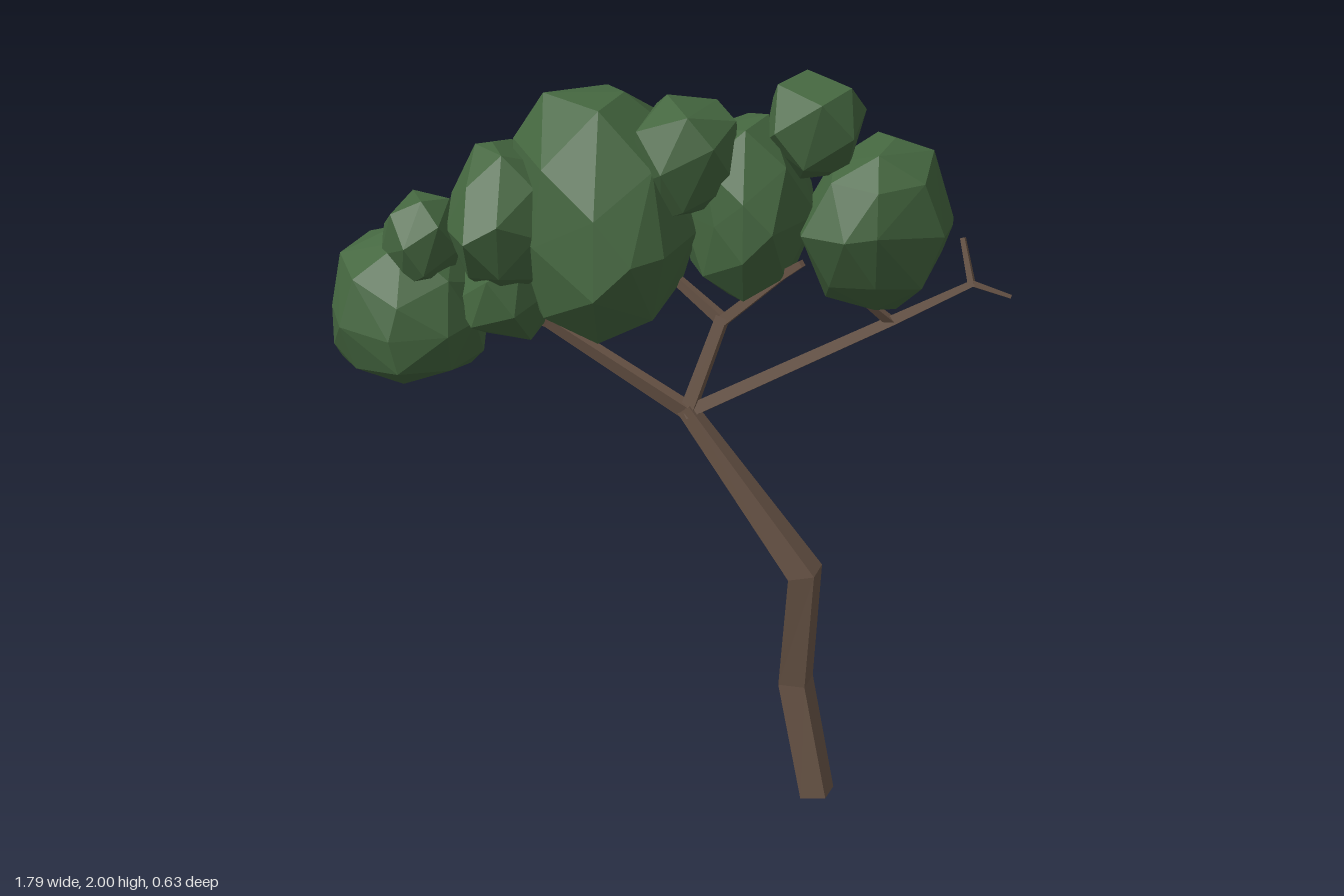
import * as THREE from 'three';
import { ConvexGeometry } from 'three/addons/geometries/ConvexGeometry.js';

const bark = new THREE.MeshStandardMaterial({ color: 0x6b5648, flatShading: true });
const leaf = new THREE.MeshStandardMaterial({ color: 0x44663f, flatShading: true });

function seeded(seed) {
  let s = seed * 7919 + 17;
  return () => (s = (s * 16807) % 2147483647) / 2147483647;
}

// Four-sided tapered limb; each node is [x, y, z, radius]
function limb(name, nodes) {
  const pts = nodes.map(n => new THREE.Vector3(n[0], n[1], n[2]));
  const last = pts.length - 1;
  const rings = pts.map((p, i) => {
    const t = new THREE.Vector3();
    if (i > 0) t.add(p.clone().sub(pts[i - 1]).normalize());
    if (i < last) t.add(pts[i + 1].clone().sub(p).normalize());
    t.normalize();
    const w = new THREE.Vector3(0, 0, 1).addScaledVector(t, -t.z).normalize();
    const u = t.clone().cross(w);
    return [0, 1, 2, 3].map(k => {
      const a = 1.08 + k * Math.PI / 2;
      return p.clone().addScaledVector(u, Math.cos(a) * nodes[i][3]).addScaledVector(w, Math.sin(a) * nodes[i][3]);
    });
  });
  const tris = [];
  for (let k = 0; k < 4; k++) {
    const n = (k + 1) % 4;
    for (let i = 0; i < last; i++) {
      const a = rings[i], b = rings[i + 1];
      tris.push(a[k], b[k], a[n], a[n], b[k], b[n]);
    }
    tris.push(pts[0], rings[0][k], rings[0][n], pts[last], rings[last][n], rings[last][k]);
  }
  const geo = new THREE.BufferGeometry().setFromPoints(tris);
  geo.computeVertexNormals();
  const mesh = new THREE.Mesh(geo, bark);
  mesh.name = name;
  return mesh;
}

function hull(name, pts) {
  const mesh = new THREE.Mesh(new ConvexGeometry(pts), leaf);
  mesh.name = name;
  return mesh;
}

// Small clump: irregular faceted ball fitted to a centre and half-sizes
function ballClump(name, seed, center, half, count) {
  const rnd = seeded(seed), pts = [];
  const spin = rnd() * 6.28;
  for (let i = 0; i < count; i++) {
    const y = 1 - (2 * i + 1) / count, r = Math.sqrt(1 - y * y), a = i * 2.39996 + spin;
    const p = new THREE.Vector3(Math.cos(a) * r, y, Math.sin(a) * r);
    p.x += (rnd() - 0.5) * 0.25;
    p.y += (rnd() - 0.5) * 0.25;
    p.z += (rnd() - 0.5) * 0.25;
    pts.push(p.normalize());
  }
  const box = new THREE.Box3().setFromPoints(pts);
  const mid = box.getCenter(new THREE.Vector3()), size = box.getSize(new THREE.Vector3());
  const limit = new THREE.Vector3(...half), low = limit.clone().negate(), c = new THREE.Vector3(...center);
  const scale = limit.clone().multiplyScalar(2.1).divide(size);
  pts.forEach(p => p.sub(mid).multiply(scale).clamp(low, limit).add(c));
  return hull(name, pts);
}

// Big clump: hull around three crossing outlines, front [x, y], side [z, y]
// and plan [x, z]; tilt lowers the front of the plan outline
function shapedClump(name, tilt, front, side, plan) {
  const box = new THREE.Box3().setFromPoints([
    ...front.map(([x, y]) => new THREE.Vector3(x, y, side[0][0])),
    ...side.map(([z, y]) => new THREE.Vector3(front[0][0], y, z)),
  ]);
  const c = box.getCenter(new THREE.Vector3()), h = box.getSize(new THREE.Vector3()).multiplyScalar(0.3);
  const drop = z => tilt * (z - c.z);
  const pts = [
    ...front.map(([x, y]) => new THREE.Vector3(x, y, c.z)),
    ...side.map(([z, y]) => new THREE.Vector3(c.x, y, z)),
    ...plan.map(([x, z]) => new THREE.Vector3(x, c.y - drop(z), z)),
  ];
  // Fill out the eight corners between the outlines
  for (const i of [-1, 1]) for (const j of [-1, 1]) for (const k of [-1, 1]) {
    const z = c.z + k * h.z;
    pts.push(new THREE.Vector3(c.x + i * h.x, c.y + j * h.y - drop(z), z));
  }
  return hull(name, pts);
}

export function createModel() {
  const tree = new THREE.Group();
  tree.name = 'tree';

  // Crooked trunk
  tree.add(limb('trunk', [
    [0.412, 0.01, 0.097, 0.052], [0.347, 0.345, 0.083, 0.053],
    [0.368, 0.692, 0.155, 0.053], [0.045, 1.12, 0.075, 0.028],
  ]));

  // Main branches and their forks
  const branches = new THREE.Group();
  branches.name = 'branches';
  branches.add(
    limb('rightBranch', [[0.04, 1.105, 0.078, 0.024], [0.58, 1.35, 0.005, 0.019], [0.79, 1.445, -0.035, 0.012]]),
    limb('rightUpperTwig', [[0.788, 1.435, -0.035, 0.012], [0.76, 1.56, -0.06, 0.009]]),
    limb('rightOuterTwig', [[0.785, 1.445, -0.035, 0.011], [0.89, 1.41, -0.035, 0.007]]),
    limb('rightInnerTwig', [[0.58, 1.345, 0.005, 0.016], [0.5, 1.42, 0.04, 0.012]]),
    limb('middleBranch', [[0.045, 1.1, 0.075, 0.026], [0.14, 1.37, 0.065, 0.022]]),
    limb('middleLeftTwig', [[0.145, 1.355, 0.065, 0.02], [0, 1.47, 0.02, 0.016], [-0.06, 1.56, 0, 0.01]]),
    limb('middleRightTwig', [[0.135, 1.355, 0.065, 0.02], [0.29, 1.495, 0.11, 0.017], [0.345, 1.54, 0.15, 0.012]]),
    limb('leftBranch', [[0.06, 1.105, 0.075, 0.026], [-0.32, 1.345, 0.05, 0.02], [-0.55, 1.43, 0.03, 0.01]]),
    limb('leftTwig', [[-0.31, 1.34, 0.05, 0.018], [-0.36, 1.5, 0.02, 0.01]]),
  );
  tree.add(branches);

  // Leaf clumps of the crown
  const crown = new THREE.Group();
  crown.name = 'crown';
  crown.add(
    shapedClump('outerClump', 0.25,
      [[-0.87, 1.515], [-0.72, 1.59], [-0.57, 1.55], [-0.48, 1.44], [-0.495, 1.255], [-0.53, 1.22], [-0.7, 1.19], [-0.875, 1.23], [-0.897, 1.265]],
      [[0.12, 1.57], [-0.07, 1.57], [-0.18, 1.46], [-0.18, 1.33], [-0.16, 1.245], [-0.07, 1.2], [0.17, 1.2], [0.25, 1.25], [0.23, 1.42]],
      [[-0.89, -0.06], [-0.7, -0.19], [-0.54, -0.16], [-0.48, 0], [-0.5, 0.14], [-0.56, 0.22], [-0.71, 0.25], [-0.85, 0.18], [-0.89, 0.07]]),
    shapedClump('leftClump', 0.1,
      [[-0.505, 1.81], [-0.46, 1.815], [-0.32, 1.76], [-0.28, 1.6], [-0.33, 1.46], [-0.45, 1.42], [-0.55, 1.49], [-0.57, 1.68]],
      [[0.12, 1.8], [-0.08, 1.8], [-0.18, 1.65], [-0.1, 1.44], [0.12, 1.42], [0.22, 1.5], [0.24, 1.64]],
      [[-0.54, -0.16], [-0.43, -0.18], [-0.3, -0.1], [-0.28, 0.08], [-0.33, 0.19], [-0.51, 0.25], [-0.575, 0.12], [-0.57, 0]]),
    shapedClump('largeClump', 0.2,
      [[-0.33, 1.94], [-0.12, 1.945], [0, 1.85], [0.06, 1.68], [0.03, 1.45], [-0.05, 1.37], [-0.15, 1.31], [-0.26, 1.3], [-0.37, 1.4], [-0.41, 1.6], [-0.41, 1.82]],
      [[0.13, 1.92], [-0.12, 1.94], [-0.275, 1.815], [-0.31, 1.61], [-0.25, 1.4], [-0.18, 1.35], [0.2, 1.33], [0.31, 1.47], [0.28, 1.67]],
      [[-0.18, -0.32], [0.03, -0.28], [0.085, -0.19], [0.075, 0.09], [0, 0.25], [-0.08, 0.31], [-0.34, 0.205], [-0.41, 0.07], [-0.44, -0.1], [-0.38, -0.25]]),
    shapedClump('middleClump', 0.1,
      [[0.08, 1.85], [0.25, 1.89], [0.335, 1.73], [0.37, 1.6], [0.33, 1.5], [0.15, 1.41], [0.05, 1.5], [0.02, 1.68]],
      [[0.1, 1.87], [-0.12, 1.87], [-0.23, 1.7], [-0.2, 1.5], [-0.05, 1.42], [0.13, 1.43], [0.21, 1.55], [0.2, 1.7]],
      [[0.06, -0.19], [0.19, -0.24], [0.36, -0.21], [0.38, 0.05], [0.27, 0.215], [0.12, 0.16], [0.03, 0.05]]),
    shapedClump('rightClump', 0,
      [[0.575, 1.835], [0.675, 1.805], [0.73, 1.61], [0.705, 1.54], [0.59, 1.38], [0.405, 1.41], [0.335, 1.6], [0.42, 1.77]],
      [[0.1, 1.81], [-0.1, 1.83], [-0.2, 1.7], [-0.215, 1.55], [-0.1, 1.41], [0.08, 1.4], [0.17, 1.48], [0.21, 1.62], [0.18, 1.73]],
      [[0.37, -0.2], [0.51, -0.22], [0.65, -0.17], [0.735, -0.09], [0.705, 0.12], [0.45, 0.21], [0.34, 0.14], [0.33, -0.05]]),
    ballClump('outerTopClump', 4, [-0.645, 1.56, 0.065], [0.105, 0.12, 0.15], 18),
    ballClump('lowerClump', 6, [-0.425, 1.42, 0.05], [0.13, 0.12, 0.16], 18),
    ballClump('centreTopClump', 8, [0.04, 1.79, 0.06], [0.135, 0.16, 0.165], 20),
    ballClump('rightTopClump', 11, [0.37, 1.865, -0.005], [0.13, 0.135, 0.14], 16),
  );
  tree.add(crown);

  return tree;
}
